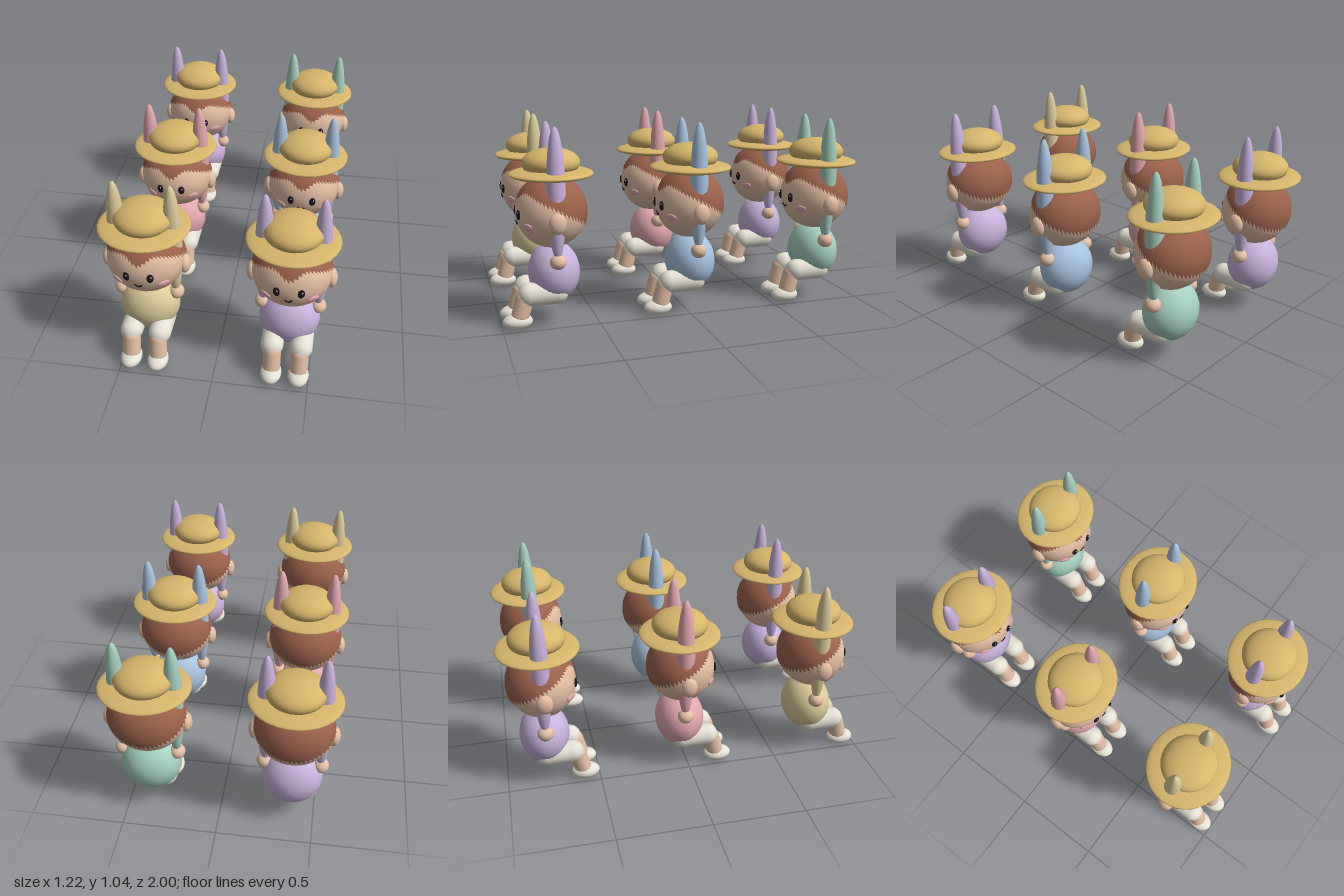
import * as THREE from 'three';

const mat = (name, color) => {
  const m = new THREE.MeshStandardMaterial({ color });
  m.name = name;
  return m;
};

// Head ellipsoid: centre and radii, shared by the face and hair
const HEAD = { c: [0, 0.592, 0.006], r: [0.203, 0.187, 0.182] };

// Point on the front of the head at a given x and y
function onFace(x, y, lift = 0) {
  const [cx, cy, cz] = HEAD.c, [rx, ry, rz] = HEAD.r;
  const k = 1 - ((x - cx) / rx) ** 2 - ((y - cy) / ry) ** 2;
  return new THREE.Vector3(x, y, cz + rz * Math.sqrt(Math.max(k, 0)) + lift);
}

// Outward direction of the head surface at a point
function faceNormal(p) {
  const n = p.toArray().map((v, i) => (v - HEAD.c[i]) / HEAD.r[i] ** 2);
  return new THREE.Vector3(...n).normalize();
}

// Hair cap: sphere rows squeezed to stop at a wavy hairline
function hairGeometry() {
  const cols = 56, rows = 12, grow = 1.03;
  const g = new THREE.SphereGeometry(1, cols, rows);
  const p = g.attributes.position;
  const [rx, ry, rz] = HEAD.r.map((r) => r * grow);
  for (let i = 0; i < p.count; i++) {
    const col = i % (cols + 1), row = Math.floor(i / (cols + 1));
    const phi = (col / cols) * Math.PI * 2;
    const dx = -Math.cos(phi), dz = Math.sin(phi);
    const a = Math.abs(Math.atan2(dx, dz)); // 0 at the front, PI at the back
    const edge = 0.62 + (a < Math.PI / 2 ? 0.09 : 0.11) * Math.cos(a)
      - 0.055 * Math.exp(-((a / 0.3) ** 2));
    const t = (row / rows) * Math.acos((edge - HEAD.c[1]) / ry);
    p.setXYZ(i, rx * Math.sin(t) * dx, ry * Math.cos(t), rz * Math.sin(t) * dz);
  }
  // Smooth ellipsoid normals
  const n = g.attributes.normal, v = new THREE.Vector3();
  for (let i = 0; i < p.count; i++) {
    v.set(p.getX(i) / rx ** 2, p.getY(i) / ry ** 2, p.getZ(i) / rz ** 2).normalize();
    n.setXYZ(i, v.x, v.y, v.z);
  }
  return g;
}

export function createModel() {
  const skin = mat('skin', 0xe3bfa4);
  const straw = mat('straw', 0xd6b66c);
  const brown = mat('brown hair', 0x9c624c);
  const cream = mat('cream', 0xe6e1d5);
  const black = mat('black', 0x1d1620);
  const lavender = mat('lavender', 0xc9b3dc);
  const blue = mat('blue', 0xa8c3e0);
  const green = mat('green', 0xa6d0bf);
  const pink = mat('pink', 0xe3a9b0);
  const tan = mat('tan', 0xdccb9b);
  brown.side = THREE.DoubleSide;

  const ball = new THREE.SphereGeometry(1, 30, 18);
  const smallBall = new THREE.SphereGeometry(1, 16, 10);
  const hair = hairGeometry();
  const thigh = new THREE.CapsuleGeometry(0.06, 0.14, 6, 20).rotateX(Math.PI / 2);
  const shin = new THREE.CapsuleGeometry(0.047, 0.09, 6, 20);
  const smile = new THREE.TubeGeometry(new THREE.CatmullRomCurve3(
    [[-0.02, 0.551], [-0.011, 0.54], [0, 0.534], [0.011, 0.54], [0.02, 0.551]]
      .map(([x, y]) => onFace(x, y, 0.001))), 16, 0.004, 6);

  function add(parent, name, geo, material, pos = [0, 0, 0], scale = [1, 1, 1]) {
    const m = new THREE.Mesh(geo, material);
    m.name = name;
    m.position.set(...pos);
    m.scale.set(...scale);
    parent.add(m);
    return m;
  }

  // Flattened ball lying on the face
  function feature(parent, name, material, x, y, scale, lift = 0) {
    const p = onFace(x, y), n = faceNormal(p);
    p.addScaledVector(n, lift);
    const m = add(parent, name, smallBall, material, p.toArray(), scale);
    m.quaternion.setFromUnitVectors(new THREE.Vector3(0, 0, 1), n);
  }

  function createFigure(outfit) {
    const f = new THREE.Group();
    f.name = 'figure';

    // Body, head and hair
    add(f, 'body', ball, outfit, [0, 0.272, 0], [0.16, 0.159, 0.134]);
    add(f, 'head', ball, skin, HEAD.c, HEAD.r);
    add(f, 'hair', hair, brown, HEAD.c);
    add(f, 'mouth', smile, black);

    // Straw hat
    add(f, 'hatBrim', ball, straw, [0, 0.787, 0], [0.237, 0.03, 0.217]);
    add(f, 'hatCrown', ball, straw, [0, 0.842, 0], [0.153, 0.077, 0.149]);

    for (const [side, s] of [['left', 1], ['right', -1]]) {
      // Face details
      feature(f, side + 'Eye', black, s * 0.061, 0.594, [0.018, 0.026, 0.009]);
      feature(f, side + 'EyeHighlight', cream, s * 0.061 + 0.004, 0.604, [0.004, 0.005, 0.003], 0.007);
      feature(f, side + 'Cheek', pink, s * 0.119, 0.54, [0.034, 0.02, 0.009]);

      // Ears, long hood ears and hands
      add(f, side + 'Ear', ball, skin, [s * 0.201, 0.565, 0.006], [0.03, 0.054, 0.044]);
      add(f, side + 'LongEar', ball, outfit, [s * 0.143, 0.7, 0], [0.048, 0.34, 0.048]);
      add(f, side + 'Hand', ball, skin, [s * 0.146, 0.357, 0], [0.041, 0.039, 0.042]);

      // Sitting legs
      add(f, side + 'Thigh', thigh, cream, [s * 0.076, 0.178, 0.07]);
      const lower = add(f, side + 'Shin', shin, skin, [s * 0.072, 0.115, 0.177]);
      lower.rotation.x = -0.26;
      add(f, side + 'Foot', ball, cream, [s * 0.072, 0.04, 0.204], [0.056, 0.04, 0.077]);
    }
    return f;
  }

  // Three rows of two figures
  const model = new THREE.Group();
  model.name = 'figureSet';
  const rows = [[lavender, green], [pink, blue], [tan, lavender]];
  rows.forEach((row, r) => row.forEach((outfit, c) => {
    const f = createFigure(outfit);
    f.position.set(c ? 0.375 : -0.375, 0, -0.782 + r * 0.75);
    model.add(f);
  }));
  return model;
}
